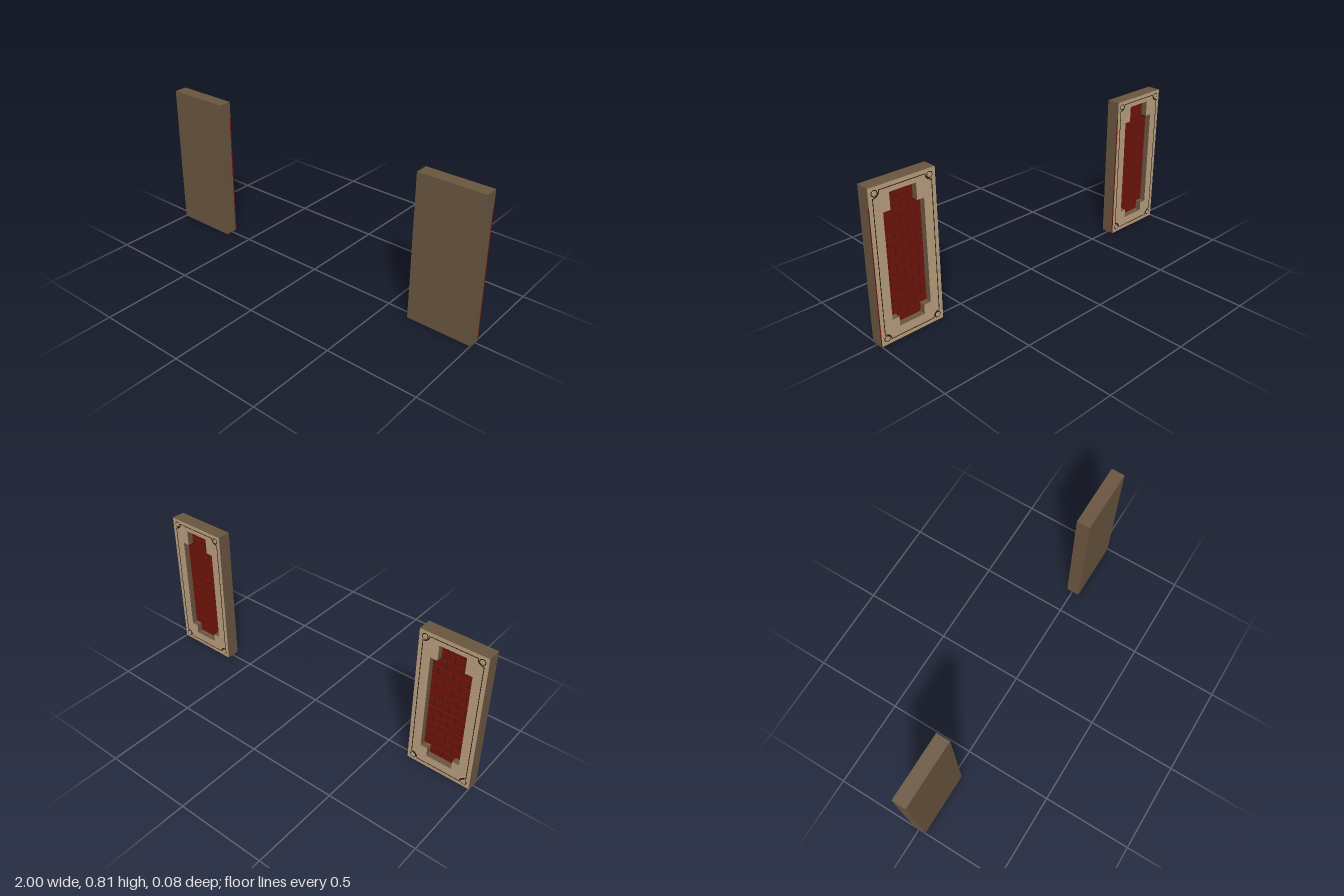
import * as THREE from 'three';

const mat = (color) => new THREE.MeshStandardMaterial({ color });
const W = 0.36, H = 0.81;               // panel size
const BACK = -0.04, FLOOR = -0.004;     // local depths, decorated face towards +z
const RIM = 0.028, FACE = 0.035;
const WIDE = 0.111, NARROW = 0.072;     // half widths of the stepped opening
const Y = [0.07, 0.12, 0.675, 0.762];   // heights of its steps

const brown = mat(0x6b5640), tan = mat(0xbda281), red = mat(0x701409), dark = mat(0x241810);

function add(group, name, geometry, material, x = 0, y = 0, z = 0) {
  const mesh = new THREE.Mesh(geometry, material);
  mesh.name = name;
  mesh.position.set(x, y, z);
  group.add(mesh);
  return mesh;
}

const extrude = (shape, depth) =>
  new THREE.ExtrudeGeometry(shape, { depth, bevelEnabled: false, curveSegments: 8 });

function rectShape() {
  const s = new THREE.Shape();
  s.moveTo(-W / 2, 0).lineTo(W / 2, 0).lineTo(W / 2, H).lineTo(-W / 2, H).closePath();
  return s;
}

// Stepped window through which the bricks show
function openingPath() {
  const right = [[NARROW, Y[0]], [NARROW, Y[1]], [WIDE, Y[1]], [WIDE, Y[2]], [NARROW, Y[2]], [NARROW, Y[3]]];
  const left = right.map(([x, y]) => [-x, y]).reverse();
  return new THREE.Path([...right, ...left].map(([x, y]) => new THREE.Vector2(x, y)));
}

// Rectangle whose corners are scooped out around the studs
function scooped(PathType, inset, r) {
  const p = new PathType(), a = W / 2 - inset, b = inset, t = H - inset;
  const q = Math.PI / 2;
  p.moveTo(-a + r, b).lineTo(a - r, b);
  p.absarc(a, b, r, 2 * q, q, true);
  p.lineTo(a, t - r);
  p.absarc(a, t, r, 3 * q, 2 * q, true);
  p.lineTo(-a + r, t);
  p.absarc(-a, t, r, 0, -q, true);
  p.lineTo(-a, b + r);
  p.absarc(-a, b, r, q, 0, true);
  return p;
}

function addBricks(panel) {
  const rows = 14, step = (Y[3] - Y[0]) / rows, bw = 0.082, gap = 0.005;
  for (let i = 0; i < rows; i++) {
    const y = Y[0] + (i + 0.5) * step;
    const half = y > Y[1] && y < Y[2] ? WIDE : NARROW;
    for (let k = -3; k <= 3; k++) {
      const start = (k + (i % 2) * 0.5) * bw;
      const x0 = Math.max(start + gap / 2, -half), x1 = Math.min(start + bw - gap / 2, half);
      if (x1 - x0 < 0.006) continue;
      add(panel, 'brick', new THREE.BoxGeometry(x1 - x0, step - gap, 0.006), red, (x0 + x1) / 2, y, FLOOR + 0.003);
    }
  }
}

function createPanel() {
  const panel = new THREE.Group();
  panel.name = 'wallPanel';

  // Solid backing, recessed rim and plaster face
  add(panel, 'backing', new THREE.BoxGeometry(W, H, FLOOR - BACK), brown, 0, H / 2, (FLOOR + BACK) / 2);
  add(panel, 'mortar', new THREE.PlaneGeometry(WIDE * 2, Y[3] - Y[0]), dark, 0, (Y[0] + Y[3]) / 2, FLOOR + 0.001);
  const rim = rectShape();
  rim.holes.push(openingPath());
  add(panel, 'rim', extrude(rim, RIM - FLOOR), brown, 0, 0, FLOOR);
  add(panel, 'plasterFace', new THREE.ExtrudeGeometry(rim, { depth: FACE - RIM, bevelEnabled: false }), [tan, brown], 0, 0, RIM);
  addBricks(panel);

  // Red underside and edge strip
  add(panel, 'underside', new THREE.BoxGeometry(W, 0.001, FACE - BACK), red, 0, 0, (FACE + BACK) / 2);
  add(panel, 'edgeStrip', new THREE.BoxGeometry(0.001, 0.715, FACE - RIM), red, -W / 2, 0.3575, (FACE + RIM) / 2);

  // Thin border line
  const line = scooped(THREE.Shape, 0.02, 0.034);
  line.holes.push(scooped(THREE.Path, 0.0235, 0.034));
  add(panel, 'borderLine', extrude(line, 0.001), dark, 0, 0, FACE);

  // Corner studs
  for (const x of [-1, 1]) for (const y of [0.032, H - 0.032]) {
    const ring = add(panel, 'studRing', new THREE.CylinderGeometry(0.017, 0.017, 0.002, 16), dark, x * (W / 2 - 0.032), y, FACE);
    const stud = add(panel, 'stud', new THREE.CylinderGeometry(0.012, 0.014, 0.004, 16), tan, x * (W / 2 - 0.032), y, FACE + 0.001);
    ring.rotation.x = stud.rotation.x = Math.PI / 2;
  }
  panel.rotation.y = Math.PI; // decorated face to the back
  return panel;
}

export function createModel() {
  const model = new THREE.Group();
  model.name = 'wallPanels';
  for (const side of [-1, 1]) {
    const panel = createPanel();
    panel.position.x = side * (1 - W / 2);
    model.add(panel);
  }
  // Tiny loose flake between the panels
  const flakeMat = mat(0x241810);
  flakeMat.side = THREE.DoubleSide;
  add(model, 'flake', new THREE.PlaneGeometry(0.014, 0.005), flakeMat, 0, 0.445, -0.027).rotation.x = -Math.PI / 2;
  return model;
}
